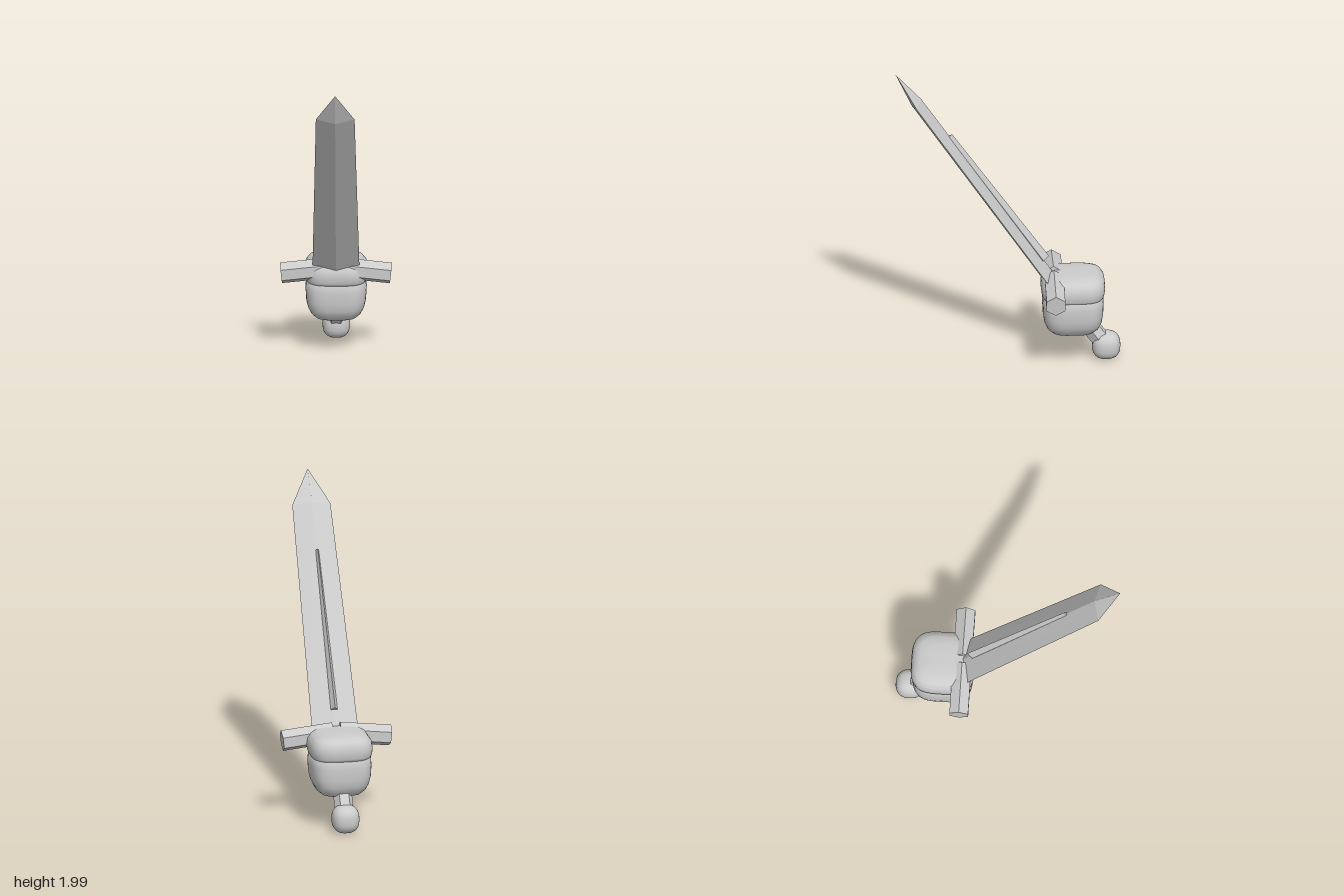
import * as THREE from 'three';

const steel = new THREE.MeshStandardMaterial({ color: 0xcccccc });
steel.name = 'grey';

// Rings are [y, halfX, halfZ, centreZ = 0]; pow > 2 squares the section off, pow 1 makes a diamond.
function loft(name, rings, { sides = 32, pow = 2, flat = false } = {}) {
  const pos = [], idx = [], e = 2 / pow;
  const bend = (v) => Math.sign(v) * Math.abs(v) ** e;
  for (const [y, hx, hz, cz = 0] of rings) {
    for (let j = 0; j < sides; j++) {
      const a = (j / sides) * Math.PI * 2;
      const c = Math.round(Math.cos(a) * 1e6) / 1e6, s = Math.round(Math.sin(a) * 1e6) / 1e6;
      pos.push(hx * bend(c), y, cz + hz * bend(s));
    }
  }
  const last = rings.length - 1, bottom = pos.length / 3, top = bottom + 1;
  pos.push(0, rings[0][0], rings[0][3] ?? 0, 0, rings[last][0], rings[last][3] ?? 0);
  for (let j = 0; j < sides; j++) {
    const k = (j + 1) % sides;
    for (let i = 0; i < last; i++) {
      const a = i * sides + j, b = i * sides + k;
      idx.push(a, a + sides, b, b, a + sides, b + sides);
    }
    idx.push(bottom, j, k, top, last * sides + k, last * sides + j);
  }
  let geo = new THREE.BufferGeometry();
  geo.setAttribute('position', new THREE.Float32BufferAttribute(pos, 3));
  geo.setIndex(idx);
  if (flat) geo = geo.toNonIndexed();
  geo.computeVertexNormals();
  const mesh = new THREE.Mesh(geo, steel);
  mesh.name = name;
  return mesh;
}

// Six-sided bar between two points, with flat faces.
function hexBar(name, from, to, radius, turn = 0) {
  const dir = to.clone().sub(from);
  let geo = new THREE.CylinderGeometry(radius, radius, dir.length(), 6);
  geo.rotateY(turn);
  geo = geo.toNonIndexed();
  geo.computeVertexNormals();
  const mesh = new THREE.Mesh(geo, steel);
  mesh.name = name;
  mesh.position.copy(from).add(to).multiplyScalar(0.5);
  mesh.quaternion.setFromUnitVectors(new THREE.Vector3(0, 1, 0), dir.normalize());
  return mesh;
}

export function createModel() {
  const model = new THREE.Group();
  model.name = 'swordInFist';

  // Blade leaning forward, diamond in section
  const blade = new THREE.Group();
  blade.name = 'blade';
  blade.position.set(0, 0.53, -0.285);
  blade.rotation.x = 0.595;
  blade.add(loft('bladeBody', [
    [0.03, 0.148, 0.04], [1.542, 0.122, 0.037], [1.775, 0.0005, 0.0005],
  ], { sides: 4, flat: true }));
  // Tapered rib on the back of the blade
  blade.add(loft('bladeRib', [
    [0.174, 0.022, 0.042, -0.04], [1.228, 0.01, 0.025, -0.034],
  ], { sides: 4, flat: true }));
  model.add(blade);

  // Cross-guard arms, drooping slightly outwards
  for (const [side, name] of [[1, 'leftGuard'], [-1, 'rightGuard']]) {
    model.add(hexBar(name, new THREE.Vector3(0.02 * side, 0.565, -0.285),
      new THREE.Vector3(0.345 * side, 0.53, -0.285), 0.068, Math.PI / 2));
  }

  // Grip and pommel
  model.add(hexBar('grip', new THREE.Vector3(0, 0.53, -0.285),
    new THREE.Vector3(0, 0.1, -0.61), 0.06, Math.PI / 6));
  const ball = [];
  for (let i = 0; i <= 14; i++) {
    const t = -Math.PI / 2 + (Math.PI * i) / 14;
    const r = Math.max(Math.cos(t), 0.001) ** 0.8;
    ball.push([Math.sign(Math.sin(t)) * Math.abs(Math.sin(t)) ** 0.8 * 0.089, 0.087 * r, 0.09 * r]);
  }
  const pommel = loft('pommel', ball, { pow: 2.4 });
  pommel.position.set(0, 0.097, -0.615);
  model.add(pommel);

  // Rounded fist below, thicker rounded band above
  const fist = new THREE.Group();
  fist.name = 'fist';
  fist.position.z = -0.405;
  fist.add(loft('fistBody', [
    [0.203, 0.03, 0.03], [0.206, 0.09, 0.09], [0.222, 0.128, 0.135], [0.25, 0.158, 0.164],
    [0.29, 0.178, 0.182], [0.34, 0.189, 0.19], [0.41, 0.193, 0.193], [0.5, 0.186, 0.186],
  ], { sides: 40, pow: 3.4 }));
  fist.add(loft('fistBand', [
    [0.455, 0.165, 0.165], [0.46, 0.185, 0.188], [0.48, 0.196, 0.198], [0.52, 0.2, 0.203],
    [0.56, 0.193, 0.198], [0.588, 0.172, 0.18], [0.603, 0.14, 0.15], [0.61, 0.09, 0.1], [0.611, 0.03, 0.03],
  ], { sides: 40, pow: 3.4 }));
  model.add(fist);
  return model;
}
